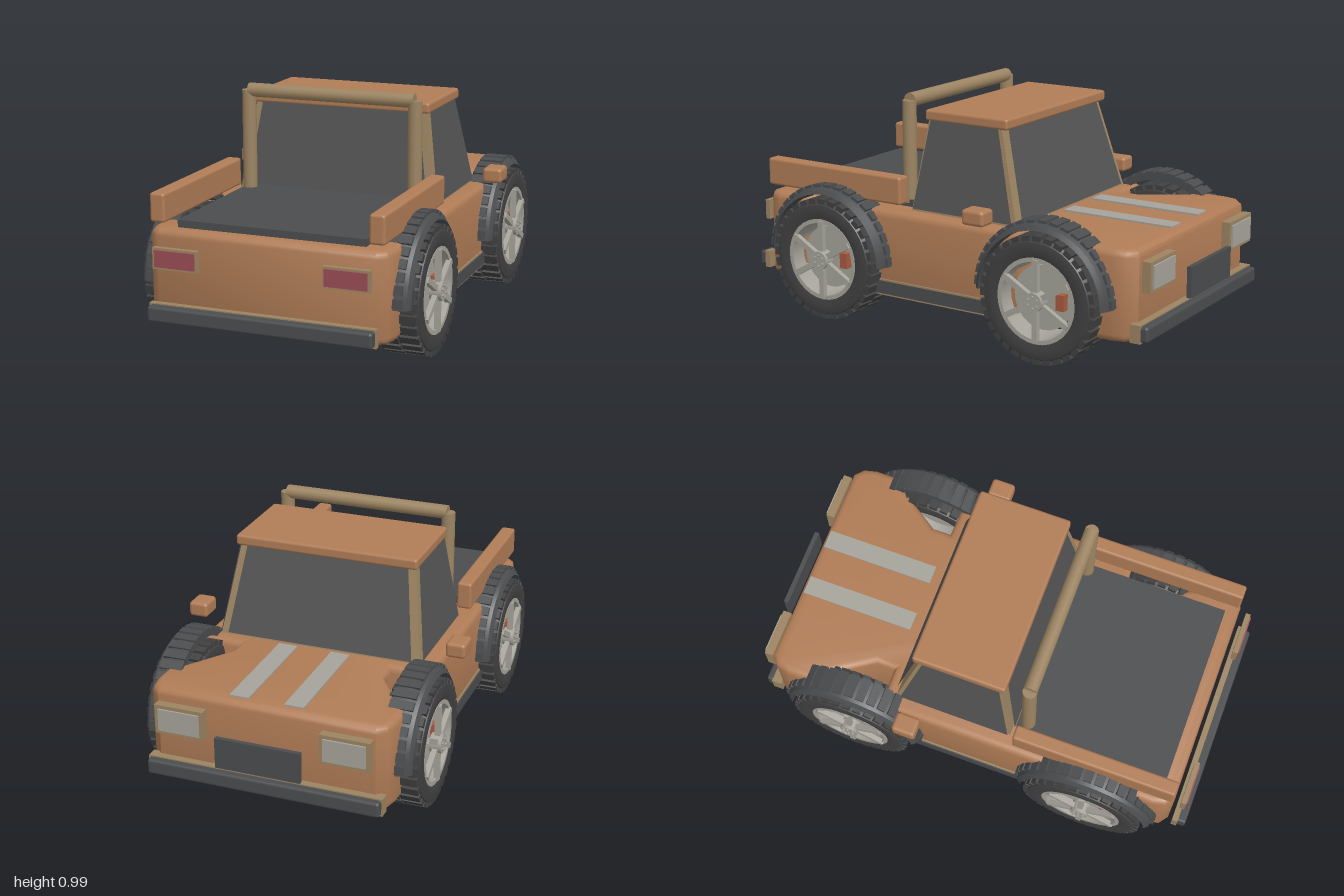
import * as THREE from 'three';
import { RoundedBoxGeometry } from 'three/addons/geometries/RoundedBoxGeometry.js';
import { toCreasedNormals } from 'three/addons/utils/BufferGeometryUtils.js';

const mat = (name, color, side = THREE.FrontSide) => {
  const m = new THREE.MeshStandardMaterial({ color, side });
  m.name = name;
  return m;
};

export function createModel() {
  const paint = mat('copper paint', 0xb07c56);
  const tan = mat('tan trim', 0x9c8462);
  const glass = mat('dark glass', 0x555555, THREE.DoubleSide);
  const rubber = mat('tyre rubber', 0x414141, THREE.DoubleSide);
  const plastic = mat('dark plastic', 0x4a4c4e, THREE.DoubleSide);
  const metal = mat('light metal', 0xa5a39a, THREE.DoubleSide);
  const red = mat('tail light red', 0x9a4c55);
  const brake = mat('brake red', 0xa85a40);

  const truck = new THREE.Group();
  truck.name = 'pickupTruck';

  const add = (name, geometry, material, parent = truck) => {
    const mesh = new THREE.Mesh(geometry, material);
    mesh.name = name;
    parent.add(mesh);
    return mesh;
  };
  // Box given by its minimum and maximum corners, optionally rounded
  const box = (name, material, [x0, y0, z0], [x1, y1, z1], round = 0, parent = truck) => {
    const size = [x1 - x0, y1 - y0, z1 - z0];
    const g = round ? new RoundedBoxGeometry(...size, 2, round) : new THREE.BoxGeometry(...size);
    const mesh = add(name, g, material, parent);
    mesh.position.set((x0 + x1) / 2, (y0 + y1) / 2, (z0 + z1) / 2);
    return mesh;
  };
  // The same box on both sides
  const pair = (name, material, a, b, round = 0) => {
    box(name + 'Left', material, a, b, round);
    box(name + 'Right', material, [-b[0], a[1], a[2]], [-a[0], b[1], b[2]], round);
  };
  // Flat four-cornered panel
  const panel = (name, material, corners) => {
    const g = new THREE.BufferGeometry();
    g.setAttribute('position', new THREE.Float32BufferAttribute(corners.flat(), 3));
    g.setIndex([0, 1, 2, 0, 2, 3]);
    g.computeVertexNormals();
    return add(name, g, material);
  };

  // Body: plan outline (x, z) with a wheel notch at each corner, extruded upward
  const half = [
    [0.46, 0.92], [0.5, 0.89], [0.515, 0.84], [0.515, 0.7], [0.46, 0.69], [0.34, 0.51], [0.34, 0.43],
    [0.515, 0.41], [0.515, -0.395], [0.34, -0.4], [0.34, -0.48], [0.46, -0.66],
    [0.515, -0.68], [0.515, -0.82], [0.5, -0.88], [0.46, -0.915]
  ];
  const outline = [...half, ...half.slice().reverse().map(([x, z]) => [-x, z])];
  const bodyShape = new THREE.Shape(outline.map(([x, z]) => new THREE.Vector2(x, -z)));
  const bodyGeo = new THREE.ExtrudeGeometry(bodyShape, {
    depth: 0.315, bevelEnabled: true, bevelThickness: 0.03, bevelSize: 0.03, bevelOffset: -0.03, bevelSegments: 3
  });
  bodyGeo.rotateX(-Math.PI / 2);
  bodyGeo.translate(0, 0.16, 0);
  add('body', toCreasedNormals(bodyGeo, 0.7), paint);

  // Cab: tapered pillar block, four glass panels and the roof
  const ring = (y, x, zFront, zBack) => [[x, y, zBack], [x, y, zFront], [-x, y, zFront], [-x, y, zBack]];
  const low = ring(0.5, 0.445, -0.345, 0.175);
  const high = ring(0.9, 0.385, -0.235, 0.12);
  for (let i = 0; i < 4; i++) {
    const j = (i + 1) % 4;
    panel('cabPillars', tan, [low[i], low[j], high[j], high[i]]);
  }
  panel('windscreen', glass, [[0.41, 0.515, -0.352], [-0.41, 0.515, -0.352], [-0.355, 0.89, -0.248], [0.355, 0.89, -0.248]]);
  panel('rearWindow', glass, [[-0.41, 0.515, 0.183], [0.41, 0.515, 0.183], [0.355, 0.89, 0.133], [-0.355, 0.89, 0.133]]);
  for (const s of [1, -1]) {
    panel('sideWindow', glass, [
      [s * 0.452, 0.515, 0.165], [s * 0.452, 0.515, -0.325], [s * 0.396, 0.89, -0.225], [s * 0.396, 0.89, 0.108]
    ]);
  }
  box('roof', paint, [-0.4, 0.885, -0.27], [0.4, 0.932, 0.135], 0.012);

  // Load bed
  box('bedCover', plastic, [-0.4, 0.5, 0.187], [0.4, 0.535, 0.86]);
  pair('bedRail', paint, [0.43, 0.53, 0.2], [0.495, 0.65, 0.915], 0.012);
  for (const s of [1, -1]) {
    const post = add('rollBarPost', new THREE.CylinderGeometry(0.03, 0.03, 0.437, 16), tan);
    post.position.set(s * 0.373, 0.7385, 0.232);
  }
  const bar = add('rollBarTop', new THREE.CylinderGeometry(0.03, 0.03, 0.74, 16), tan);
  bar.rotation.z = Math.PI / 2;
  bar.position.set(0, 0.957, 0.232);

  // Bumpers, sills, mirrors and bonnet stripes
  box('tailBumper', plastic, [-0.475, 0.145, 0.95], [0.475, 0.21, 1], 0.012);
  box('tailBumperTrim', tan, [-0.48, 0.14, 0.94], [0.48, 0.215, 0.965]);
  box('noseBumper', plastic, [-0.495, 0.145, -0.975], [0.495, 0.21, -0.915], 0.012);
  box('noseBumperTrim', tan, [-0.5, 0.14, -0.945], [0.5, 0.215, -0.9]);
  pair('sill', plastic, [0.47, 0.145, -0.3], [0.527, 0.2, 0.31]);
  pair('sillTrim', tan, [0.47, 0.137, -0.3], [0.522, 0.207, 0.31]);
  pair('mirror', paint, [0.535, 0.535, -0.297], [0.62, 0.6, -0.193], 0.015);
  pair('bonnetStripe', metal, [0.075, 0.519, -0.895], [0.157, 0.526, -0.395]);

  // Lights and grille
  pair('tailLightFrame', tan, [0.263, 0.358, 0.95], [0.457, 0.445, 0.972]);
  pair('tailLight', red, [0.273, 0.367, 0.97], [0.447, 0.436, 0.978]);
  pair('headLightFrame', tan, [0.245, 0.335, -0.962], [0.455, 0.46, -0.925]);
  pair('headLight', metal, [0.262, 0.35, -0.97], [0.438, 0.445, -0.961]);
  box('grille', plastic, [-0.18, 0.25, -1], [0.18, 0.38, -0.98]);

  // Wheel parts are built around the x axis, outer face toward +x
  const lathe = (points, segments, start = 0, length = Math.PI * 2) =>
    new THREE.LatheGeometry(points.map(p => new THREE.Vector2(...p)), segments, start, length).rotateZ(-Math.PI / 2);
  const tyreGeo = toCreasedNormals(lathe([
    [0.175, -0.085], [0.21, -0.095], [0.24, -0.088], [0.253, -0.07],
    [0.253, 0.07], [0.24, 0.088], [0.21, 0.095], [0.175, 0.085], [0.175, -0.085]
  ], 36), 0.6);
  const rimGeo = toCreasedNormals(lathe([[0.16, -0.08], [0.178, -0.08], [0.178, 0.088], [0.16, 0.088], [0.16, -0.08]], 32), 0.6);
  const archGeo = toCreasedNormals(lathe([
    [0.28, -0.05], [0.313, -0.05], [0.313, 0.02], [0.3, 0.06], [0.282, 0.073], [0.28, -0.05]
  ], 20, Math.PI, Math.PI), 0.5);
  const treadGeo = new THREE.BoxGeometry(0.08, 0.024, 0.036);
  const ribGeo = new THREE.BoxGeometry(0.1, 0.012, 0.038);
  const spokeGeo = new THREE.BoxGeometry(0.022, 0.14, 0.024);
  const boltGeo = new THREE.CylinderGeometry(0.006, 0.006, 0.012, 6).rotateZ(Math.PI / 2);
  const discGeo = (r, w) => new THREE.CylinderGeometry(r, r, w, 24).rotateZ(Math.PI / 2);

  const wheel = (name, side, z) => {
    const w = new THREE.Group();
    w.name = name;
    w.position.set(side * 0.5, 0.265, z);
    if (side < 0) w.rotation.y = Math.PI;
    truck.add(w);
    // Place copies of a part around the axle
    const around = (part, geometry, material, count, r, x, from = 0, sweep = Math.PI * 2) => {
      for (let i = 0; i < count; i++) {
        const a = from + (i / count) * sweep;
        const m = add(part, geometry, material, w);
        m.position.set(x, Math.cos(a) * r, Math.sin(a) * r);
        m.rotation.x = a;
      }
    };
    add('tyre', tyreGeo, rubber, w);
    around('treadBlock', treadGeo, rubber, 32, 0.252, 0.044);
    around('treadBlock', treadGeo, rubber, 32, 0.252, -0.044, 0.05);
    add('rim', rimGeo, metal, w);
    around('spoke', spokeGeo, metal, 6, 0.1, 0.085);
    add('hub', discGeo(0.04, 0.05), metal, w).position.x = 0.085;
    around('wheelBolt', boltGeo, metal, 6, 0.024, 0.112);
    add('brakeDisc', discGeo(0.135, 0.015), metal, w).position.x = 0.02;
    box('brakeCaliper', brake, [0.01, -0.032, -0.112], [0.06, 0.034, -0.075], 0, w);
    // Ribbed arch above the tyre
    add('wheelArch', archGeo, plastic, w);
    around('archRib', ribGeo, plastic, 19, 0.313, -0.005, -Math.PI / 2 + 0.08, Math.PI);
  };
  for (const side of [1, -1]) {
    const label = side > 0 ? 'Left' : 'Right';
    wheel('rearWheel' + label, side, 0.55);
    wheel('frontWheel' + label, side, -0.525);
  }
  return truck;
}
